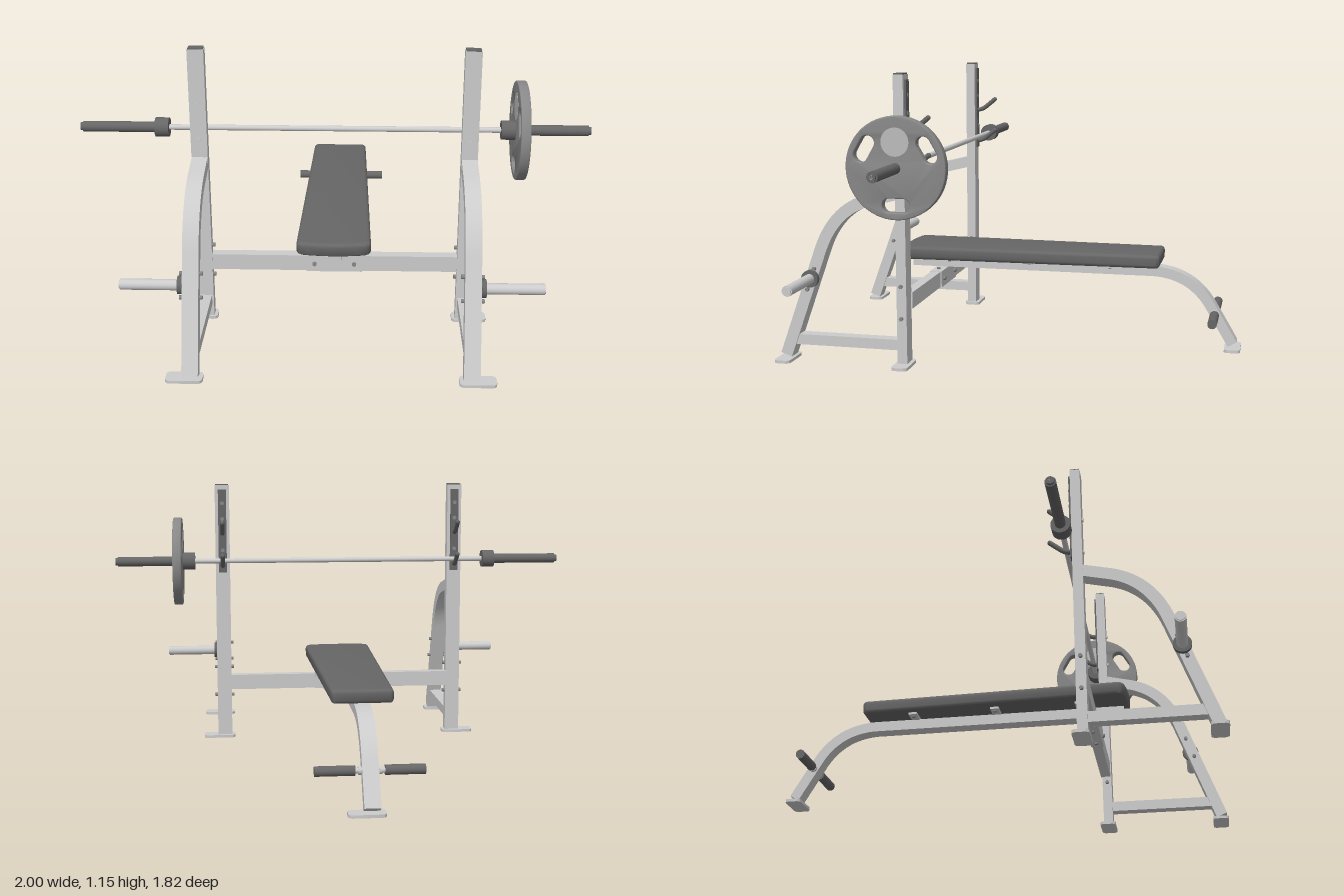
import * as THREE from 'three';
import { toCreasedNormals } from 'three/addons/utils/BufferGeometryUtils.js';

const V2 = (a, b) => new THREE.Vector2(a, b);
const mat = (color) => new THREE.MeshStandardMaterial({ color });
const steel = mat(0xcccccc), dark = mat(0x666666), iron = mat(0x888888), pale = mat(0xbbbbbb);

export function createModel() {
  const model = new THREE.Group();

  function add(name, geo, material = steel, x = 0, y = 0, z = 0, parent = model) {
    const mesh = new THREE.Mesh(geo, material);
    mesh.name = name;
    mesh.position.set(x, y, z);
    parent.add(mesh);
    return mesh;
  }
  const box = (name, w, h, d, x, y, z, m = steel, parent = model) =>
    add(name, new THREE.BoxGeometry(w, h, d), m, x, y, z, parent);

  // Cylinder along x (default), y or z
  function rod(name, r, len, x, y, z, m = steel, parent = model, axis = 'x', sides = 24) {
    const g = new THREE.CylinderGeometry(r, r, len, sides);
    if (axis === 'x') g.rotateZ(Math.PI / 2);
    if (axis === 'z') g.rotateX(Math.PI / 2);
    return add(name, g, m, x, y, z, parent);
  }

  // Extrude a (z, y) outline across x, centred on x = 0
  function sideExtrude(shape, width, bevel = 0) {
    const g = new THREE.ExtrudeGeometry(shape, {
      depth: width - 2 * bevel, bevelEnabled: bevel > 0, bevelSize: bevel,
      bevelThickness: bevel, bevelOffset: -bevel, bevelSegments: 3, curveSegments: 32,
    });
    g.translate(0, 0, -(width - 2 * bevel) / 2);
    g.rotateY(-Math.PI / 2);
    return toCreasedNormals(g, 0.6);
  }

  // Bent square tube: straight, one curved bend, straight
  function bentTube(a, b, corner, c, d, height, width) {
    const path = new THREE.CurvePath();
    path.add(new THREE.LineCurve(a, b));
    path.add(new THREE.QuadraticBezierCurve(b, corner, c));
    path.add(new THREE.LineCurve(c, d));
    const pts = path.getPoints(16);
    const upper = [], lower = [];
    pts.forEach((p, i) => {
      const t = pts[Math.min(i + 1, pts.length - 1)].clone().sub(pts[Math.max(i - 1, 0)]).normalize();
      const n = V2(-t.y, t.x).multiplyScalar(height / 2);
      upper.push(p.clone().add(n));
      lower.unshift(p.clone().sub(n));
    });
    return sideExtrude(new THREE.Shape([...upper, ...lower]), width);
  }

  function roundedRect(w, h, r) {
    const s = new THREE.Shape();
    s.absarc(w / 2 - r, h / 2 - r, r, 0, Math.PI / 2);
    s.absarc(-w / 2 + r, h / 2 - r, r, Math.PI / 2, Math.PI);
    s.absarc(-w / 2 + r, -h / 2 + r, r, Math.PI, Math.PI * 1.5);
    s.absarc(w / 2 - r, -h / 2 + r, r, Math.PI * 1.5, Math.PI * 2);
    return s;
  }
  function foot(x, z, parent) {
    const g = new THREE.ExtrudeGeometry(roundedRect(0.14, 0.066, 0.018),
      { depth: 0.012, bevelEnabled: false, curveSegments: 6 });
    g.rotateX(-Math.PI / 2);
    add('footPlate', toCreasedNormals(g, 0.6), steel, x, 0, z, parent);
  }

  // Rack sides, mirrored about x = 0
  const legGeo = bentTube(V2(0.877, 0.02), V2(0.72, 0.455), V2(0.655, 0.635),
    V2(0.49, 0.668), V2(0.4, 0.69), 0.048, 0.062);
  const hookPath = new THREE.CatmullRomCurve3([[0.372, 0.0], [0.352, -0.002], [0.332, 0.004], [0.305, 0.024], [0.277, 0.047]]
    .map(([z, y]) => new THREE.Vector3(0, y, z)));
  const hookGeo = new THREE.TubeGeometry(hookPath, 16, 0.01, 10);
  for (const s of [1, -1]) {
    const side = new THREE.Group();
    side.name = s > 0 ? 'leftRackSide' : 'rightRackSide';
    model.add(side);
    const x = s * 0.527;
    box('upright', 0.064, 1.14, 0.04, x, 0.58, 0.386, steel, side);
    box('uprightCap', 0.058, 0.006, 0.036, x, 1.152, 0.386, dark, side);
    add('curvedFrontLeg', legGeo, steel, x, 0, 0, side);
    box('lowerBrace', 0.05, 0.042, 0.44, x, 0.085, 0.62, steel, side);
    foot(s * 0.551, 0.383, side);
    foot(s * 0.551, 0.873, side);

    // Hook plate and bar hooks on the back of the upright
    box('hookPlate', 0.036, 0.37, 0.008, x, 0.945, 0.362, dark, side);
    for (const y of [0.785, 0.93]) {
      add('barHook', hookGeo, dark, x, y + 0.008, 0, side);
      add('hookTip', new THREE.SphereGeometry(0.01, 10, 8), dark, x, y + 0.055, 0.277, side);
      rod('hookBolt', 0.008, 0.008, x, y, 0.408, steel, side, 'z', 12);
    }
    for (const y of [0.86, 1.0, 1.07]) rod('plateHole', 0.009, 0.004, x, y, 0.358, iron, side, 'z', 12);

    // Plate storage peg
    rod('pegFlange', 0.035, 0.018, s * 0.567, 0.34, 0.762, dark, side);
    rod('storagePeg', 0.021, 0.22, s * 0.682, 0.34, 0.762, steel, side);
    rod('pegTip', 0.017, 0.006, s * 0.793, 0.34, 0.762, steel, side);

    // Bolts through the leg and the upright
    for (const [y, z] of [[0.38, 0.746], [0.295, 0.777], [0.325, 0.387], [0.195, 0.387]])
      rod('throughBolt', 0.008, 0.088, x, y, z, iron, side, 'x', 6);
  }

  // Cross beam with its centre bracket
  box('crossBeam', 1.0, 0.066, 0.042, 0, 0.256, 0.381);
  box('centreBracket', 0.225, 0.07, 0.052, 0, 0.256, 0.381);
  for (const x of [-0.08, 0.08]) rod('bracketBolt', 0.009, 0.07, x, 0.256, 0.381, iron, model, 'z', 6);
  for (const x of [-0.065, 0.065]) rod('bracketBolt', 0.008, 0.084, x, 0.256, 0.381, iron, model, 'y', 6);

  // Bench rail bending down into the rear leg
  add('benchRailAndRearLeg', bentTube(V2(0.507, 0.317), V2(-0.54, 0.317), V2(-0.705, 0.312),
    V2(-0.785, 0.172), V2(-0.875, 0.02), 0.042, 0.062));
  foot(0.02, -0.876, model);

  // Foot bar across the rear leg
  rod('footBar', 0.011, 0.38, 0, 0.147, -0.8);
  for (const s of [1, -1]) {
    rod('footBarCollar', 0.016, 0.012, s * 0.038, 0.147, -0.8);
    rod('footBarGrip', 0.019, 0.15, s * 0.13, 0.147, -0.8, dark);
  }

  // Tapered bench pad with a gently bowed front end
  const pad = new THREE.Shape();
  pad.moveTo(-0.1, 0.575);
  pad.lineTo(0.1, 0.575);
  pad.quadraticCurveTo(0.12, 0.575, 0.121, 0.555);
  pad.lineTo(0.147, -0.49);
  pad.quadraticCurveTo(0.147, -0.512, 0.118, -0.52);
  pad.quadraticCurveTo(0, -0.54, -0.118, -0.52);
  pad.quadraticCurveTo(-0.147, -0.512, -0.147, -0.49);
  pad.lineTo(-0.121, 0.555);
  pad.quadraticCurveTo(-0.12, 0.575, -0.1, 0.575);
  const padGeo = new THREE.ExtrudeGeometry(pad, {
    depth: 0.027, bevelSize: 0.014, bevelThickness: 0.014, bevelOffset: -0.014, bevelSegments: 4, curveSegments: 10,
  });
  padGeo.rotateX(-Math.PI / 2);
  add('benchPad', toCreasedNormals(padGeo, 0.7), dark, 0, 0.359, 0);
  for (const z of [0.33, -0.02, -0.365]) {
    box('padCrossStrip', 0.19, 0.01, 0.035, 0, 0.341, z);
    for (const x of [-0.075, 0.075]) rod('padBolt', 0.008, 0.008, x, 0.334, z, iron, model, 'y', 8);
  }

  // Barbell
  const bar = new THREE.Group();
  bar.name = 'barbell';
  bar.position.set(0, 0.814, 0.34);
  model.add(bar);
  rod('barShaft', 0.011, 1.32, 0, 0, 0, steel, bar);
  for (const s of [1, -1]) {
    rod('barCollar', 0.038, 0.054, s * 0.677, 0, 0, dark, bar);
    rod('barSleeve', 0.021, 0.285, s * 0.8475, 0, 0, dark, bar);
    rod('sleeveTip', 0.016, 0.01, s * 0.995, 0, 0, dark, bar);
    rod('sleeveEndBolt', 0.009, 0.002, s * 0.999, 0, 0, steel, bar, 'x', 6);
  }

  // Weight plate with three grip slots
  const disc = new THREE.Shape().absarc(0, 0, 0.194, 0, Math.PI * 2);
  for (const deg of [30, 150, 270]) {
    const a = THREE.MathUtils.degToRad(deg);
    const slot = new THREE.Path(), r = 0.027, half = 0.027;
    const end = (k) => V2(Math.cos(a) * 0.14 - Math.sin(a) * half * k, Math.sin(a) * 0.14 + Math.cos(a) * half * k);
    const p = end(1), q = end(-1);
    slot.absarc(p.x, p.y, r, a, a + Math.PI);
    slot.absarc(q.x, q.y, r, a + Math.PI, a + Math.PI * 2);
    slot.closePath();
    disc.holes.push(slot);
  }
  add('weightPlate', sideExtrude(disc, 0.038, 0.004), iron, 0.724, 0, 0, bar);
  for (const s of [1, -1]) rod('plateBadge', 0.054, 0.003, 0.724 + s * 0.0185, 0.098, 0, pale, bar, 'x', 40);

  return model;
}
